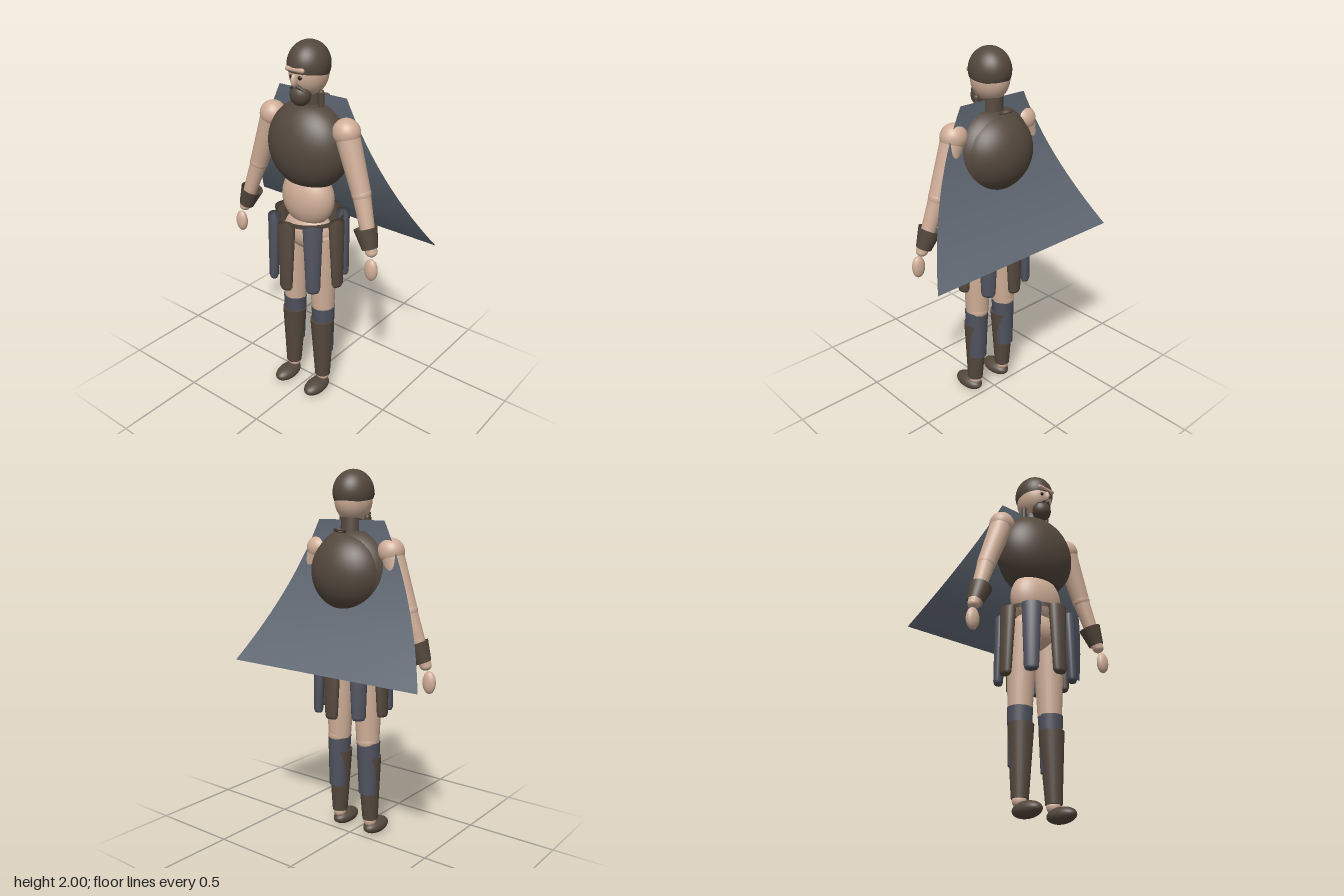
import * as THREE from 'three';

const mat = (name, color, side = THREE.FrontSide) => {
  const m = new THREE.MeshStandardMaterial({ color, side });
  m.name = name;
  return m;
};

export function createModel() {
  const root = new THREE.Group();
  root.name = 'cloakedWarrior';
  const skin = mat('skin', 0xcfae98);
  const leather = mat('brown leather', 0x54483d);
  const leatherOpen = mat('brown leather strap', 0x54483d, THREE.DoubleSide);
  const slate = mat('slate cloth', 0x50525e);
  const capeCloth = mat('grey cape cloth', 0x626a75, THREE.DoubleSide);
  const dark = mat('dark eyes', 0x241c18);

  const add = (name, geo, material, parent = root) => {
    const m = new THREE.Mesh(geo, material);
    m.name = name;
    parent.add(m);
    return m;
  };
  const ball = (name, material, [x, y, z], [rx, ry, rz], parent = root) => {
    const m = add(name, new THREE.SphereGeometry(1, 36, 24), material, parent);
    m.position.set(x, y, z);
    m.scale.set(rx, ry, rz);
    return m;
  };
  // Tapered limb from a to b
  const limb = (name, material, a, b, ra, rb, open = false) => {
    const A = new THREE.Vector3(...a), B = new THREE.Vector3(...b);
    const dir = A.clone().sub(B);
    const m = add(name, new THREE.CylinderGeometry(ra, rb, dir.length(), 28, 1, open), material);
    m.position.copy(A).add(B).multiplyScalar(0.5);
    m.quaternion.setFromUnitVectors(new THREE.Vector3(0, 1, 0), dir.normalize());
    return m;
  };

  // Breastplate: barrel cut flat at top and bottom, with a rounded back shell
  const profile = [new THREE.Vector2(0, -0.19)];
  for (let i = 0; i <= 24; i++) {
    const y = -0.19 + (0.405 * i) / 24;
    profile.push(new THREE.Vector2(Math.sqrt(1 - (y / 0.235) ** 2), y));
  }
  profile.push(new THREE.Vector2(0, 0.215));
  const chest = add('breastplate', new THREE.LatheGeometry(profile, 48), leather);
  chest.scale.set(0.235, 1, 0.172);
  chest.position.set(0, 1.475, 0.03);
  ball('backShell', leather, [0, 1.477, -0.005], [0.216, 0.208, 0.172]);

  // Waist and hips
  ball('belly', skin, [0, 1.19, 0.042], [0.155, 0.16, 0.105]);
  ball('pelvis', skin, [0, 1.0, 0.038], [0.145, 0.11, 0.1]);

  // Belt ring with eight hanging strips in alternating colours
  const belt = add('belt', new THREE.CylinderGeometry(0.18, 0.18, 0.025, 40, 1, true), leatherOpen);
  belt.position.set(0, 1.09, 0.03);
  const stripProfile = [[0, -0.195], [0.03, -0.19], [0.038, -0.175], [0.052, 0.185], [0, 0.187]]
    .map(([r, y]) => new THREE.Vector2(r, y));
  for (let i = 0; i < 8; i++) {
    const a = (i * Math.PI) / 4;
    const pivot = new THREE.Group();
    pivot.name = 'skirtStrip' + (i + 1);
    pivot.position.set(0, 0.905, 0.035);
    pivot.rotation.y = a;
    root.add(pivot);
    const s = add('strip', new THREE.LatheGeometry(stripProfile, 20), i % 2 ? slate : leather, pivot);
    s.scale.z = 0.66;
    s.position.z = 0.188;
    s.rotation.x = -0.03;
  }

  for (const s of [-1, 1]) {
    const side = s > 0 ? 'left' : 'right';
    // Legs
    limb(side + 'Thigh', skin, [s * 0.09, 1.0, 0.04], [s * 0.098, 0.55, 0.035], 0.085, 0.063);
    ball(side + 'Knee', skin, [s * 0.1, 0.56, 0.03], [0.061, 0.055, 0.06]);
    limb(side + 'Stocking', slate, [s * 0.1, 0.555, 0.038], [s * 0.104, 0.26, 0.033], 0.065, 0.053);
    limb(side + 'Greave', leather, [s * 0.1, 0.47, 0.044], [s * 0.107, 0.1, 0.048], 0.067, 0.043);
    ball(side + 'Ankle', skin, [s * 0.107, 0.09, 0.045], [0.036, 0.036, 0.036]);
    ball(side + 'Boot', leather, [s * 0.107, 0.041, 0.103], [0.054, 0.041, 0.094]);

    // Arms
    const shoulder = [s * 0.235, 1.59, 0.037], elbow = [s * 0.338, 1.3, 0.045], wrist = [s * 0.43, 1.02, 0.075];
    ball(side + 'Shoulder', skin, shoulder, [0.071, 0.07, 0.068]);
    limb(side + 'UpperArm', skin, shoulder, elbow, 0.063, 0.049);
    ball(side + 'Elbow', skin, elbow, [0.05, 0.05, 0.05]);
    limb(side + 'Forearm', skin, elbow, wrist, 0.047, 0.031);
    ball(side + 'Wrist', skin, wrist, [0.031, 0.026, 0.031]);
    limb(side + 'Bracer', leatherOpen, [s * 0.382, 1.135, 0.063], [s * 0.42, 1.035, 0.073], 0.061, 0.041, true);
    ball(side + 'Hand', skin, [s * 0.444, 0.929, 0.092], [0.037, 0.06, 0.026]);

    // Face details and side braids
    ball(side + 'Eye', dark, [s * 0.026, 1.838, 0.133], [0.011, 0.01, 0.007]);
    limb(side + 'Moustache', leather, [s * 0.008, 1.797, 0.135], [s * 0.04, 1.775, 0.12], 0.011, 0.007);
    const braid = add(side + 'Braid', new THREE.CapsuleGeometry(0.015, 0.075, 6, 14), leather);
    braid.position.set(s * 0.082, 1.72, 0.04);
  }

  // Head and neck
  limb('neck', leather, [0, 1.77, 0.015], [0, 1.67, 0.012], 0.054, 0.056);
  ball('head', skin, [0, 1.845, 0.031], [0.094, 0.115, 0.107]);
  const cap = add('cap', new THREE.SphereGeometry(1, 40, 24, 0, Math.PI * 2, 0, 1.93), leatherOpen);
  cap.scale.set(0.104, 0.115, 0.115);
  cap.position.set(0, 1.885, 0.031);
  cap.rotation.x = -0.12;
  const brow = add('brow', new THREE.CapsuleGeometry(0.012, 0.09, 6, 14), skin);
  brow.rotation.z = Math.PI / 2;
  brow.position.set(0, 1.876, 0.138);
  ball('nose', skin, [0, 1.825, 0.142], [0.014, 0.032, 0.022]);
  ball('beard', leather, [0, 1.748, 0.098], [0.055, 0.058, 0.05]);

  // Ring at the nape
  const ring = add('napeRing', new THREE.TorusGeometry(0.028, 0.006, 10, 28), leather);
  ring.position.set(0, 1.693, -0.083);
  ring.rotation.x = Math.PI / 2 + 0.3;

  // Cape: flares sideways and sweeps back toward the hem
  const capeGeo = new THREE.PlaneGeometry(2, 1, 12, 24);
  const p = capeGeo.attributes.position;
  for (let i = 0; i < p.count; i++) {
    const t = 0.5 - p.getY(i);
    p.setXYZ(i, p.getX(i) * (0.212 + 0.388 * t), 1.745 - 0.775 * t, 0.008 - 0.273 * t * t);
  }
  capeGeo.computeVertexNormals();
  add('cape', capeGeo, capeCloth);

  return root;
}
